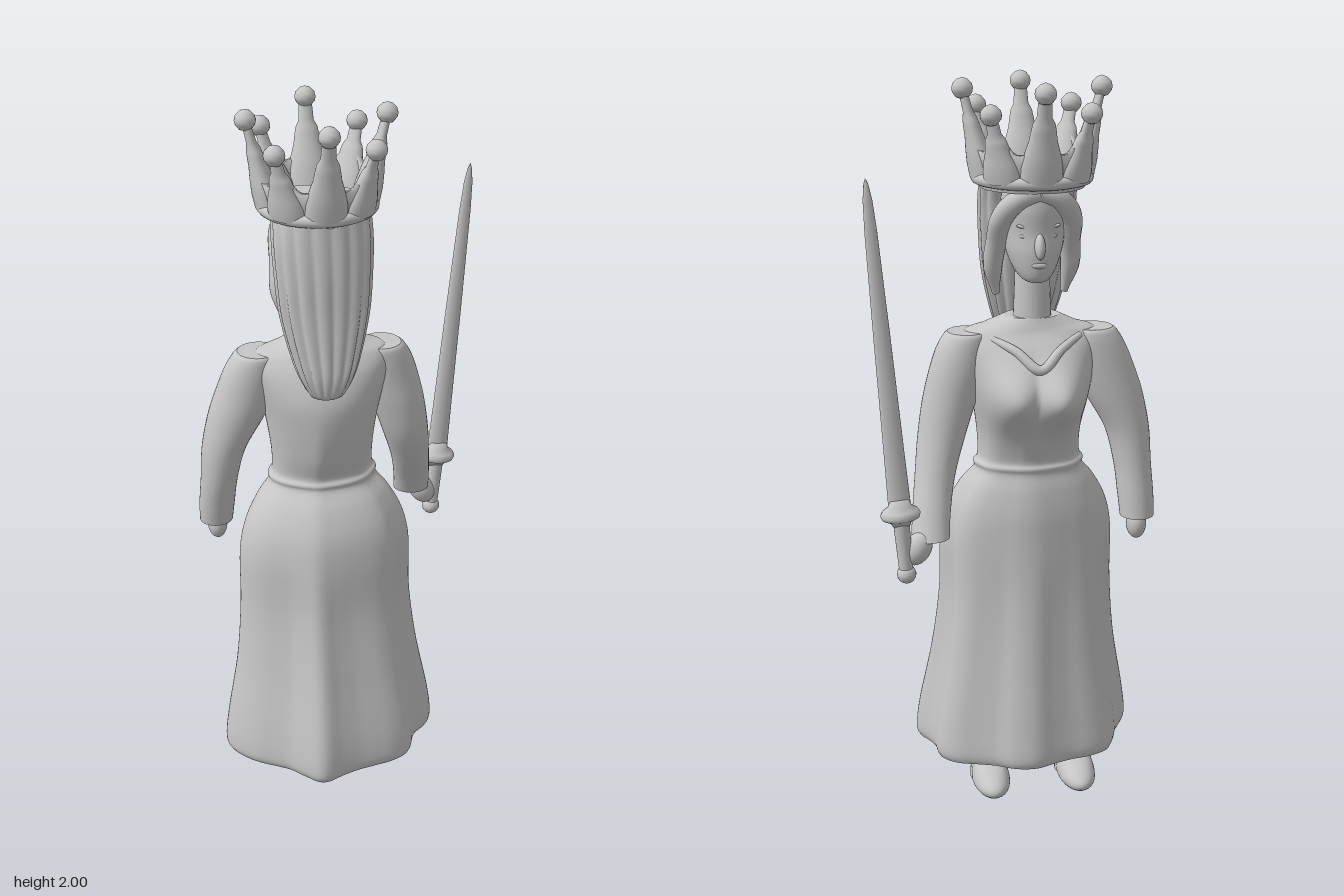
import * as THREE from 'three';

const stone = new THREE.MeshStandardMaterial({ color: 0xc6c6c6, side: THREE.DoubleSide });
stone.name = 'stone grey';
const V = (x, y, z) => new THREE.Vector3(x, y, z);
const CX = -0.06; // centre line of the figure

function part(name, geo, parent, pos) {
  const m = new THREE.Mesh(geo, stone);
  m.name = name;
  if (pos) m.position.set(...pos);
  parent.add(m);
  return m;
}

function ball(name, parent, pos, size, rot = [0, 0, 0]) {
  const m = part(name, new THREE.SphereGeometry(1, 28, 20), parent, pos);
  m.scale.set(...size);
  m.rotation.set(...rot);
  return m;
}

// Skin over closed rings of equal length, with optional flat end caps
function loft(rings, capped = true) {
  const n = rings[0].length, pts = rings.flat(), idx = [];
  for (let r = 0; r < rings.length - 1; r++) {
    for (let i = 0; i < n; i++) {
      const a = r * n + i, c = r * n + (i + 1) % n;
      idx.push(a, a + n, c, c, a + n, c + n);
    }
  }
  const ends = capped ? [rings[0], rings[rings.length - 1]] : [];
  ends.forEach((ring, end) => {
    const base = pts.length;
    const mid = V(0, 0, 0);
    ring.forEach(p => mid.addScaledVector(p, 1 / n));
    pts.push(...ring, mid);
    for (let i = 0; i < n; i++) {
      const j = (i + 1) % n;
      idx.push(base + n, base + (end ? j : i), base + (end ? i : j));
    }
  });
  const g = new THREE.BufferGeometry().setFromPoints(pts);
  g.setIndex(idx);
  g.computeVertexNormals();
  return g;
}

// Smoothly reads every column of a table at t = 0..1
function reader(table) {
  const cols = table[0].map((_, c) => new THREE.SplineCurve(table.map((row, i) => new THREE.Vector2(i, row[c]))));
  return t => cols.map(c => c.getPoint(t).y);
}

// Rings from rows of [y, centre x, half width, back z, front z, extra]
function stack(table, steps, n, shape = () => 1) {
  const read = reader(table), rings = [];
  for (let s = 0; s <= steps; s++) {
    const [y, cx, hx, zb, zf, extra] = read(s / steps);
    rings.push(Array.from({ length: n }, (_, i) => {
      const a = i / n * Math.PI * 2, k = shape(a, extra);
      return V(cx + hx * k * Math.cos(a), y, (zb + zf) / 2 + (zb - zf) / 2 * k * Math.sin(a));
    }));
  }
  return rings;
}

// Limb along a curve with changing radius
function limb(points, radii, n = 16, steps = 40) {
  const curve = new THREE.CatmullRomCurve3(points.map(p => V(...p)));
  const f = curve.computeFrenetFrames(steps), read = reader(radii.map(r => [r]));
  const rings = [];
  for (let s = 0; s <= steps; s++) {
    const c = curve.getPointAt(s / steps), r = Math.max(read(s / steps)[0], 0.001);
    rings.push(Array.from({ length: n }, (_, i) => {
      const a = i / n * Math.PI * 2;
      return c.clone().addScaledVector(f.normals[s], r * Math.cos(a)).addScaledVector(f.binormals[s], -r * Math.sin(a));
    }));
  }
  return loft(rings);
}

function lathe(profile, n = 24) {
  return new THREE.LatheGeometry(profile.map(p => new THREE.Vector2(...p)), n);
}

function makeGown(root) {
  // Fold depth around the hem, from the left side by way of the back
  const folds = [0.98, 0.95, 0.86, 0.87, 0.93, 0.91, 0.87, 0.86, 0.91, 1.01, 0.92, 0.85, 0.86, 0.91, 0.96, 1,
    0.98, 0.93, 0.9, 0.94, 0.99, 0.96, 0.91, 0.92, 0.98, 0.97, 0.92, 0.94, 1, 1, 0.92, 0.92];
  const foldCurve = new THREE.SplineCurve([...folds, folds[0]].map((f, i) => new THREE.Vector2(i, f)));
  const rings = stack([
    [0.1, -0.05, 0.308, 0.274, -0.246, 1],
    [0.13, -0.05, 0.318, 0.282, -0.252, 1],
    [0.22, -0.05, 0.307, 0.268, -0.241, 1],
    [0.4, -0.052, 0.272, 0.222, -0.217, 0.95],
    [0.58, -0.055, 0.252, 0.182, -0.198, 0.85],
    [0.74, -0.055, 0.247, 0.158, -0.186, 0.5],
    [0.83, -0.055, 0.227, 0.137, -0.181, 0.35],
    [0.9, -0.055, 0.19, 0.102, -0.171, 0.3],
    [0.945, -0.055, 0.154, 0.067, -0.16, 0.3],
    [0.965, -0.055, 0.154, 0.065, -0.163, 0.2],
    [0.985, -0.055, 0.143, 0.058, -0.158, 0.3],
    [1.05, -0.055, 0.144, 0.078, -0.178, 0.3],
    [1.14, -0.055, 0.156, 0.09, -0.2, 0.15],
    [1.22, -0.055, 0.172, 0.088, -0.2, 0],
    [1.29, -0.055, 0.19, 0.062, -0.172, 0],
    [1.333, -0.055, 0.18, 0.03, -0.14, 0],
    [1.352, -0.055, 0.13, 0.012, -0.13, 0],
    [1.375, CX, 0.075, 0, -0.12, 0],
  ], 110, 128, (a, w) => 1 + w * (foldCurve.getPoint(a / (Math.PI * 2)).y - 1));
  // Draped bust, fuller on the right
  for (const p of rings.flat()) {
    const swell = (x, depth) => depth * Math.exp(-((p.y - 1.175) ** 2) / 0.0065 - ((p.x - x) ** 2) / 0.006);
    if (p.z < -0.05) p.z -= Math.max(swell(-0.12, 0.088), swell(0.01, 0.066));
  }
  part('gown', loft(rings), root);
  // Draped neckline
  part('neckline', limb([[-0.18, 1.325, -0.116], [-0.12, 1.3, -0.17], [CX, 1.255, -0.206], [0, 1.3, -0.17], [0.06, 1.325, -0.116]],
    [0.01, 0.012, 0.014, 0.012, 0.01]), root);
}

function makeArms(root) {
  part('rightSleeve', loft(stack([
    [0.8, -0.353, 0.047, -0.06, -0.155, 0], [0.86, -0.35, 0.05, -0.045, -0.15, 0], [0.95, -0.342, 0.052, -0.022, -0.142, 0],
    [1.05, -0.326, 0.062, -0.008, -0.138, 0], [1.15, -0.288, 0.08, 0, -0.138, 0], [1.23, -0.258, 0.083, 0, -0.136, 0],
    [1.29, -0.238, 0.078, 0, -0.132, 0], [1.325, -0.228, 0.066, -0.002, -0.126, 0], [1.336, -0.225, 0.057, -0.008, -0.118, 0],
  ], 50, 32)), root);
  ball('rightHand', root, [-0.35, 0.78, -0.115], [0.028, 0.046, 0.036]);
  part('leftSleeve', loft(stack([
    [0.8, 0.236, 0.052, -0.142, -0.235, 0], [0.86, 0.229, 0.052, -0.112, -0.205, 0], [0.95, 0.213, 0.055, -0.06, -0.168, 0],
    [1.05, 0.19, 0.065, -0.015, -0.146, 0], [1.15, 0.165, 0.074, 0, -0.138, 0], [1.23, 0.142, 0.078, 0, -0.136, 0],
    [1.29, 0.127, 0.073, 0, -0.132, 0], [1.325, 0.118, 0.062, -0.002, -0.126, 0], [1.336, 0.115, 0.053, -0.008, -0.118, 0],
  ], 50, 32)), root);
  ball('leftHand', root, [0.272, 0.778, -0.205], [0.036, 0.05, 0.034], [0, 0, 0.5]);
}

function makeSword(root) {
  const sword = new THREE.Group();
  sword.name = 'sword';
  sword.position.set(0.305, 0.71, -0.215);
  sword.rotation.z = -0.077;
  root.add(sword);
  part('pommel', new THREE.SphereGeometry(0.026, 20, 14), sword);
  part('grip', new THREE.CylinderGeometry(0.022, 0.019, 0.15, 20), sword, [0, 0.085, 0]);
  const guard = part('guard', lathe([[0, 0.135], [0.022, 0.138], [0.03, 0.152], [0.05, 0.162], [0.054, 0.172], [0.048, 0.184], [0.032, 0.195], [0.026, 0.215], [0, 0.222]]), sword);
  guard.scale.z = 0.8;
  const blade = part('blade', lathe([[0.03, 0.2], [0.027, 0.35], [0.022, 0.65], [0.016, 0.93], [0.012, 1.01], [0.006, 1.05], [0, 1.065]], 16), sword);
  blade.scale.z = 0.55;
}

function makeHead(root) {
  part('neck', new THREE.CylinderGeometry(0.045, 0.052, 0.2, 28), root, [CX, 1.44, -0.07]);
  part('face', loft(stack([
    [1.475, CX, 0.012, -0.105, -0.14, 0], [1.483, CX, 0.034, -0.075, -0.162, 0], [1.51, CX, 0.056, -0.02, -0.174, 0],
    [1.56, CX, 0.075, 0.01, -0.18, 0], [1.61, CX, 0.083, 0.02, -0.176, 0], [1.67, CX, 0.086, 0.02, -0.182, 0], [1.73, CX, 0.08, 0.02, -0.178, 0],
  ], 40, 40)), root);
  ball('nose', root, [CX, 1.578, -0.179], [0.014, 0.034, 0.02], [0.25, 0, 0]);
  ball('lips', root, [CX, 1.528, -0.174], [0.02, 0.008, 0.007]);
  for (const s of [-1, 1]) {
    ball('eye', root, [CX + s * 0.033, 1.603, -0.158], [0.016, 0.007, 0.008]);
    ball('brow', root, [CX + s * 0.034, 1.627, -0.157], [0.024, 0.006, 0.01], [0, 0, s * 0.15]);
    // Parted fringe sweeping into a hanging lock
    part('sideLock', limb([[CX, 1.715, -0.17], [CX + s * 0.05, 1.7, -0.165], [CX + s * 0.09, 1.65, -0.13], [CX + s * 0.098, 1.58, -0.085],
      [CX + s * 0.104, 1.51, -0.058], [CX + s * 0.093, 1.43, -0.038]], [0.022, 0.028, 0.029, 0.028, 0.025, 0.01]), root);
  }
  // Long hair with strand grooves that drift down its length
  part('hair', loft(stack([
    [1.245, CX, 0.02, 0.09, 0.06, 0.03], [1.258, CX, 0.045, 0.105, 0.05, 0.06], [1.31, CX, 0.074, 0.114, 0.03, 0.1],
    [1.38, CX, 0.097, 0.109, 0.005, 0.1], [1.48, CX, 0.119, 0.1, -0.02, 0.09], [1.58, CX, 0.128, 0.094, -0.04, 0.08],
    [1.67, CX, 0.132, 0.085, -0.06, 0.06], [1.74, CX, 0.13, 0.077, -0.1, 0.04],
  ], 50, 144, (a, w) => 1 + w * (Math.abs(Math.sin(a * 8 + 0.4 + w * 6)) - 0.8))), root);
}

function makeCrown(root) {
  const crown = new THREE.Group();
  crown.name = 'crown';
  crown.position.set(CX, 1.72, -0.06);
  root.add(crown);
  part('rim', new THREE.TorusGeometry(0.145, 0.016, 14, 56).rotateX(Math.PI / 2), crown, [0, 0.022, 0]);
  part('cap', new THREE.CylinderGeometry(0.146, 0.138, 0.03, 48), crown, [0, 0.012, 0]);
  // Scalloped band, low between the spires
  const outer = [], inner = [];
  for (const [list, r] of [[outer, 0], [inner, -0.016]]) {
    for (const t of [0, 0.5, 1]) {
      list.push(Array.from({ length: 96 }, (_, i) => {
        const a = i / 96 * Math.PI * 2, y = 0.03 + t * (0.065 + 0.055 * Math.abs(Math.cos(a * 4)) ** 3);
        const d = 0.143 + r + (y - 0.03) * 0.2;
        return V(d * Math.cos(a), y, d * Math.sin(a));
      }));
    }
  }
  part('band', loft([...outer, ...inner.reverse()], false), crown);
  // Eight leaning spires, tall and short in turn
  for (let i = 0; i < 8; i++) {
    const turn = new THREE.Group();
    turn.name = 'spire';
    turn.rotation.y = i * Math.PI / 4;
    crown.add(turn);
    const h = i % 2 ? 0.195 : 0.25;
    const spire = part('spireBody', lathe([[0.056, 0.03], [0.054, 0.28 * h], [0.046, 0.42 * h], [0.037, 0.54 * h], [0.033, 0.64 * h], [0.029, 0.72 * h], [0.02, 0.79 * h], [0.017, h]]), turn, [0.12, 0, 0]);
    spire.scale.x = 0.65;
    spire.rotation.z = -Math.atan(0.062 / h);
    part('spireBall', lathe([[0, -0.028], [0.016, -0.023], [0.026, -0.01], [0.028, 0], [0.025, 0.012], [0.014, 0.023], [0, 0.028]], 20), turn, [0.182, h, 0]);
  }
}

function makeFeet(root) {
  for (const x of [-0.185, 0.065]) {
    part('ankle', new THREE.CylinderGeometry(0.045, 0.052, 0.14, 24), root, [x, 0.07, -0.075]);
    part('shoe', loft(stack([
      [0, x, 0.046, -0.025, -0.215, 0], [0.015, x, 0.053, -0.02, -0.233, 0], [0.035, x, 0.052, -0.022, -0.23, 0],
      [0.058, x, 0.046, -0.028, -0.195, 0], [0.078, x, 0.038, -0.035, -0.14, 0],
    ], 16, 32)), root);
  }
}

export function createModel() {
  const root = new THREE.Group();
  root.name = 'crownedWomanWithSword';
  for (const make of [makeGown, makeArms, makeSword, makeHead, makeCrown, makeFeet]) make(root);
  return root;
}
